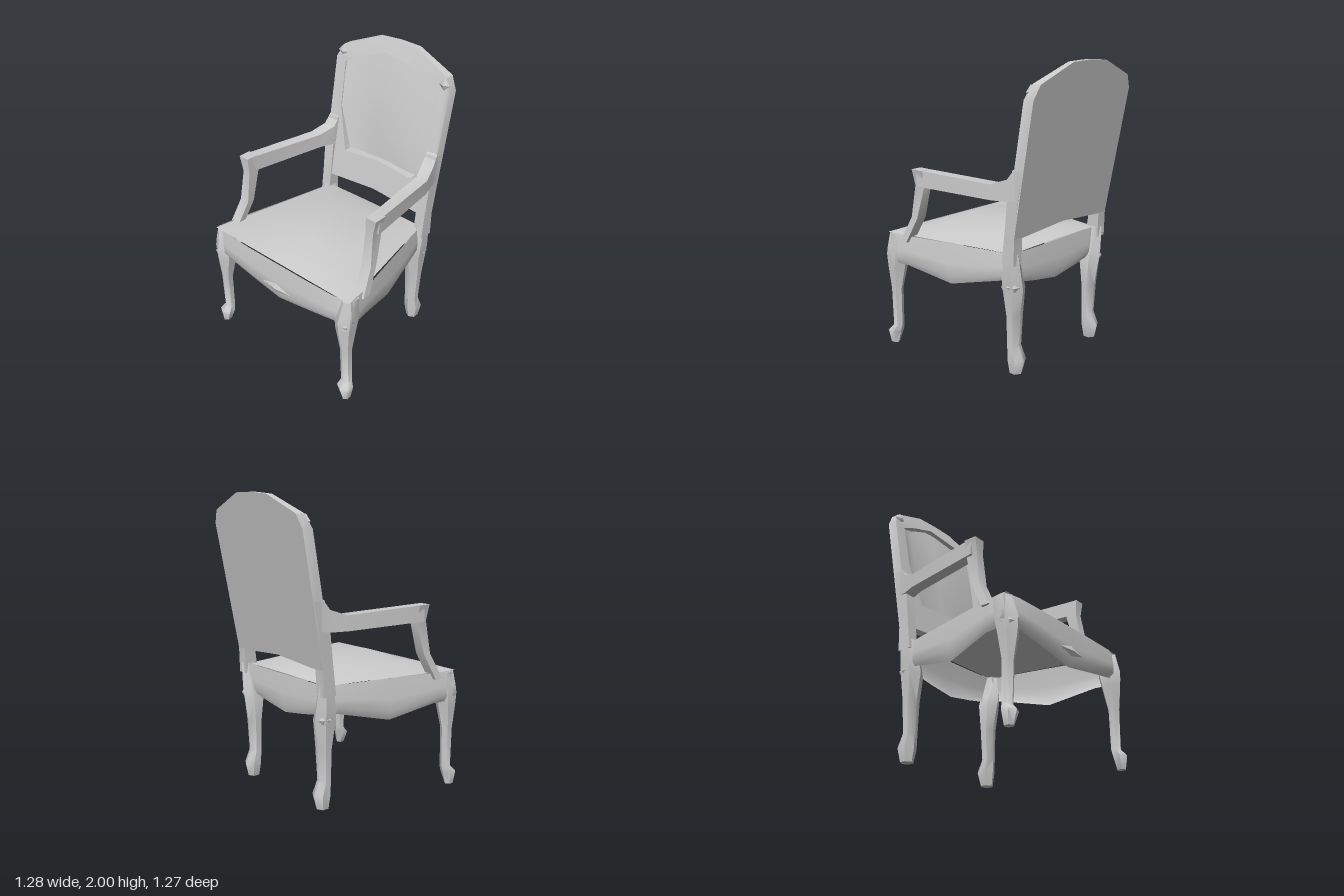
import * as THREE from 'three';
import { toCreasedNormals } from 'three/addons/utils/BufferGeometryUtils.js';

const grey = new THREE.MeshStandardMaterial({ color: 0xcccccc, side: THREE.DoubleSide });
grey.name = 'pale grey';

function mesh(name, geometry, crease = 0.9) {
  const m = new THREE.Mesh(toCreasedNormals(geometry, crease), grey);
  m.name = name;
  return m;
}

// Surface through rows of points; closed rows join their ends
function skin(rows, closed) {
  const n = rows[0].length, index = [];
  for (let r = 0; r < rows.length - 1; r++) {
    for (let c = 0; c < (closed ? n : n - 1); c++) {
      const a = r * n + c, b = r * n + (c + 1) % n;
      index.push(a, a + n, b, b, a + n, b + n);
    }
  }
  const g = new THREE.BufferGeometry();
  g.setAttribute('position', new THREE.Float32BufferAttribute(rows.flat(2), 3));
  g.setIndex(index);
  g.computeVertexNormals();
  return g;
}

// Capped bar through sections [along, x0, x1, v0, v1]; v is z when upright, y otherwise
function bar(sections, sides, upright) {
  const ring = ([t, x0, x1, v0, v1], k) => Array.from({ length: sides }, (_, i) => {
    const a = (i + 0.5) / sides * Math.PI * 2, r = k * 0.5 / Math.cos(Math.PI / sides);
    const x = (x0 + x1) / 2 + Math.cos(a) * (x1 - x0) * r;
    const v = (v0 + v1) / 2 + Math.sin(a) * (v1 - v0) * r;
    return upright ? [x, t, v] : [x, v, t];
  });
  const rows = sections.map((s) => ring(s, 1));
  return skin([ring(sections[0], 0), ...rows, ring(sections.at(-1), 0)], true);
}

// Rear plane of the leaning back
const backZ = (y) => -0.43 - 0.182 * (y - 0.9);

function lean(geometry) {
  const p = geometry.attributes.position;
  for (let i = 0; i < p.count; i++) {
    const y = p.getY(i), taper = y > 1.82 ? 1 - (y - 1.82) * 2.5 : 1;
    p.setZ(i, backZ(y) + p.getZ(i) * taper);
  }
  return geometry;
}

function shape(points) {
  return new THREE.Shape(points.map(([x, y]) => new THREE.Vector2(x, y)));
}

function diamond(name, position, size, turn = 0) {
  const m = mesh(name, new THREE.OctahedronGeometry(1), 0.1);
  m.scale.set(...size);
  m.position.set(...position);
  m.rotation.y = turn;
  return m;
}

function createModel() {
  const chair = new THREE.Group();
  chair.name = 'armchair';

  // Domed seat cushion: [z, half width, crown height]
  const cushion = [[0.59, 0.62, 0], [0.33, 0.565, 0.085], [-0.2, 0.46, 0.07], [-0.38, 0.43, 0.005]];
  const profile = [[-1, 0], [-0.6, 0.6], [0, 1], [0.6, 0.6], [1, 0]];
  chair.add(mesh('seatTop', skin(cushion.map(([z, w, h]) =>
    profile.map(([u, k]) => [u * w, 0.81 + h * k, z]))), 1.2));

  // Scalloped apron: half outline [x, z, lower edge], mirrored into a loop
  const half = [[0, 0.6, 0.525], [0.25, 0.6, 0.565], [0.5, 0.595, 0.605], [0.62, 0.57, 0.6],
    [0.6, 0.42, 0.6], [0.525, 0.08, 0.53], [0.445, -0.3, 0.62], [0.42, -0.38, 0.62], [0.2, -0.385, 0.58]];
  const loop = [...half, [0, -0.385, 0.55], ...half.slice(1).reverse().map(([x, z, y]) => [-x, z, y])];
  const level = (k, f) => loop.map(([x, z, low]) => [x * f, 0.81 + (low - 0.81) * k, z * f]);
  chair.add(mesh('seatApron', skin([level(0, 1), level(0.5, 1.025), level(0.8, 1.03), level(1, 0.99)], true), 1));

  // Back frame with an opening
  const outline = [[-0.4, 0.92], [0, 0.95], [0.4, 0.92], [0.475, 0.92], [0.485, 1.79], [0.44, 1.88],
    [0.16, 1.995], [0, 2], [-0.17, 1.99], [-0.44, 1.88], [-0.485, 1.79], [-0.475, 0.92]];
  const frame = shape(outline);
  frame.holes.push(new THREE.Path([[-0.3, 1.14], [0, 1.165], [0.3, 1.14], [0.37, 1.18], [0.38, 1.85],
    [-0.08, 1.91], [-0.28, 1.83], [-0.4, 1.77], [-0.39, 1.45]].map(([x, y]) => new THREE.Vector2(x, y))));
  chair.add(mesh('backFrame', lean(new THREE.ExtrudeGeometry(frame, { depth: 0.075, bevelEnabled: false })), 0.5));
  chair.add(mesh('backCover', lean(new THREE.ExtrudeGeometry(shape(outline), { depth: 0.008, bevelEnabled: false })), 0.5));

  // Recessed, gently domed back pad with a slanted side
  const padX = [[-0.4, 0.07], [-0.27, 0.015], [-0.05, 0.05], [0.2, 0.045], [0.4, 0.015]];
  const padY = [[1.13, 0.5], [1.35, 1], [1.65, 1], [1.9, 0.6]];
  chair.add(mesh('backPad', lean(skin(padY.map(([y, k]) =>
    padX.map(([x, t], i) => [x, y, i ? t * k : t])))), 0.7));

  chair.add(diamond('frontOrnament', [0, 0.625, 0.622], [0.13, 0.035, 0.015]));

  for (const side of [1, -1]) {
    const g = new THREE.Group();
    g.name = side > 0 ? 'leftSide' : 'rightSide';
    g.scale.x = side;

    // Front leg with a knobbed foot
    g.add(mesh('frontLeg', bar([[0, 0.57, 0.62, 0.555, 0.61], [0.09, 0.535, 0.635, 0.54, 0.625],
      [0.13, 0.545, 0.61, 0.53, 0.59], [0.4, 0.54, 0.61, 0.53, 0.6], [0.56, 0.51, 0.625, 0.5, 0.62],
      [0.66, 0.5, 0.635, 0.48, 0.625], [0.8, 0.54, 0.62, 0.47, 0.59]], 6, true)));

    // Back leg running up into the back post
    g.add(mesh('backLeg', bar([[0, 0.36, 0.435, -0.42, -0.345], [0.09, 0.34, 0.45, -0.44, -0.335],
      [0.18, 0.35, 0.44, -0.4, -0.33], [0.4, 0.34, 0.45, -0.41, -0.33], [0.58, 0.335, 0.465, -0.435, -0.3],
      [0.66, 0.36, 0.475, -0.435, -0.3], [0.82, 0.4, 0.475, -0.43, -0.335]], 6, true)));
    g.add(mesh('backPost', bar([[0.75, 0.4, 0.475, -0.43, -0.33], [0.95, 0.4, 0.475, -0.435, -0.355],
      [1.2, 0.4, 0.48, -0.475, -0.385], [1.36, 0.4, 0.48, -0.505, -0.425]], 4, true), 0.6));

    // Arm rest and its slanted support
    g.add(mesh('armRest', bar([[0.3, 0.53, 0.605, 1.17, 1.28], [-0.28, 0.44, 0.525, 1.16, 1.26],
      [-0.39, 0.4, 0.49, 1.16, 1.3], [-0.45, 0.395, 0.48, 1.17, 1.38]], 4, false), 0.5));
    g.add(mesh('armSupport', bar([[0.77, 0.55, 0.625, 0.4, 0.46], [0.95, 0.525, 0.6, 0.31, 0.365],
      [1.17, 0.525, 0.585, 0.25, 0.335], [1.28, 0.53, 0.61, 0.25, 0.34]], 4, true), 0.5));

    // Carved diamonds on the knees and upper corners
    g.add(diamond('frontKneeOrnament', [0.6, 0.625, 0.595], [0.05, 0.055, 0.025], Math.PI / 4));
    g.add(diamond('backKneeOrnament', [0.44, 0.6, -0.405], [0.05, 0.06, 0.03], Math.PI * 0.75));
    g.add(diamond('cornerOrnament', [0.435, 1.835, -0.53], [0.045, 0.045, 0.02]));
    chair.add(g);
  }
  return chair;
}

export { createModel };
